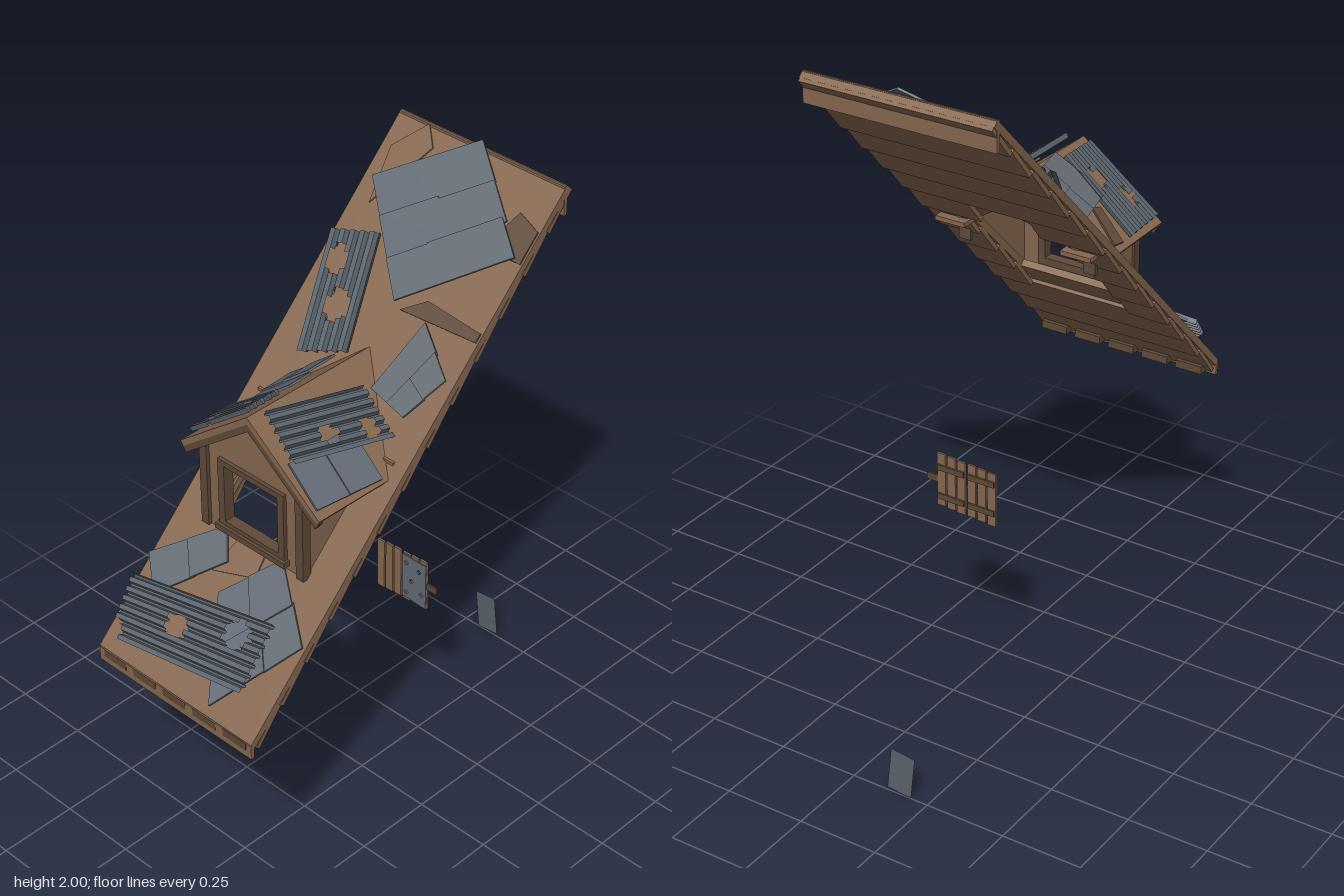
import * as THREE from 'three';

const mat = (name, color, side = THREE.FrontSide) =>
  Object.assign(new THREE.MeshStandardMaterial({ color, side, flatShading: true }), { name });

export function createModel() {
  const root = new THREE.Group();
  root.name = 'ruinedRoofWithDormer';
  const wood = mat('weathered wood', 0x86674f);
  const darkWood = mat('dark wood', 0x5f4a39);
  const metal = mat('slate metal', 0x626a73);
  const tin = mat('corrugated tin', 0x59626b, THREE.DoubleSide);

  const add = (parent, name, geo, material, x = 0, y = 0, z = 0) => {
    const m = new THREE.Mesh(geo, material);
    m.name = name;
    m.position.set(x, y, z);
    parent.add(m);
    return m;
  };
  const box = (parent, name, material, w, h, d, x, y, z) =>
    add(parent, name, new THREE.BoxGeometry(w, h, d), material, x, y, z);
  const group = (name) => {
    const g = new THREE.Group();
    g.name = name;
    root.add(g);
    return g;
  };
  const outline = (pts) => new THREE.Shape(pts.map(([x, y]) => new THREE.Vector2(x, y)));
  // flat slab from an outline, from z upward by depth
  const slab = (parent, name, material, pts, z, depth = 0.007, holes = []) => {
    const s = outline(pts);
    holes.forEach((h) => s.holes.push(outline(h)));
    return add(parent, name, new THREE.ExtrudeGeometry(s, { depth, bevelEnabled: false }), material, 0, 0, z);
  };
  // point inside a four-cornered patch
  const inQuad = ([a, b, c, d], u, v) => [0, 1].map((i) =>
    (a[i] * (1 - u) + b[i] * u) * (1 - v) + (d[i] * (1 - u) + c[i] * u) * v);
  // overlapping plates; each cell is [u0, v0, u1, v1]
  const plates = (parent, name, quad, cells, z) => cells.forEach(([u0, v0, u1, v1], i) =>
    slab(parent, name, metal, [[u0, v0], [u1, v0], [u1, v1], [u0, v1]]
      .map(([u, v]) => inQuad(quad, u, v)), z + (i % 3) * 0.004));
  // ribbed sheet, ribs along u, with rusted holes [u, v, ru, rv]
  const ribbed = (parent, name, quad, ribs, z, holes) => {
    const pos = [], n = 44, steps = [0, 0.5, 0.65, 0.85], h = [0.016, 0.016, 0, 0];
    const rows = [];
    for (let r = 0; r < ribs; r++) steps.forEach((s, k) => rows.push([(r + s) / ribs, h[k]]));
    rows.push([1, h[0]]);
    for (let j = 0; j + 1 < rows.length; j++) for (let i = 0; i < n; i++) {
      const u = (i + 0.5) / n, v = (rows[j][0] + rows[j + 1][0]) / 2;
      if (holes.some(([a, b, ra, rb]) => ((u - a) / ra) ** 2 + ((v - b) / rb) ** 2 < 1)) continue;
      const p = [[i, j], [i + 1, j], [i + 1, j + 1], [i, j + 1]]
        .map(([a, b]) => [...inQuad(quad, a / n, rows[b][0]), rows[b][1]]);
      [0, 1, 2, 0, 2, 3].forEach((k) => pos.push(...p[k]));
    }
    const g = new THREE.BufferGeometry();
    g.setAttribute('position', new THREE.Float32BufferAttribute(pos, 3));
    g.computeVertexNormals();
    add(parent, name, g, tin, 0, 0, z);
  };

  // ---- main roof: local y runs up the slope, local z is its normal
  const roof = group('mainRoof');
  roof.position.y = 1.5;
  roof.rotation.x = -Math.PI / 4;
  const onRoof = (pts) => pts.map(([x, y]) => [x, (y - 1.5) * Math.SQRT2]);
  const top = 0.672, bottom = -1.054;
  const opening = [[-0.17, -0.55], [0.17, -0.55], [0.17, -0.2], [0, -0.02], [-0.17, -0.2]];
  slab(roof, 'roofDeck', wood, [[-0.305, bottom], [0.305, bottom], [0.305, top], [-0.305, top]],
    -0.022, 0.022, [opening]);

  // lapped boards under the deck, split around the opening
  const count = 13, pitch = (top - bottom) / count;
  const gap = (v) => (v < -0.55 || v > -0.02 ? 0 : v < -0.2 ? 0.17 : 0.17 * (-0.02 - v) / 0.18);
  for (let i = 0; i < count; i++) {
    const v = bottom + (i + 0.5) * pitch;
    const g = Math.max(...[-0.5, -0.25, 0, 0.25, 0.5].map((t) => gap(v + t * pitch)));
    const spans = g ? [[-0.303, -g], [g, 0.303]] : [[-0.303, 0.303]];
    spans.forEach(([a, b]) => {
      box(roof, 'lapBoard', wood, b - a, pitch, 0.014, (a + b) / 2, v, -0.032).rotation.x = 0.09;
    });
  }
  // loose dark boards lying on the deck
  [
    [[0.17, 1.8], [0.3, 1.8], [0.3, 1.87], [0.22, 1.89]],
    [[0.03, 1.62], [0.3, 1.63], [0.3, 1.65], [0.1, 1.66]],
    [[-0.27, 1.9], [-0.19, 1.97], [-0.14, 1.93], [-0.24, 1.78]],
    [[-0.09, 1.0], [0.05, 1.03], [0.04, 1.09], [-0.06, 1.09]],
  ].forEach((q, i) => slab(roof, 'looseBoard', i < 2 ? darkWood : wood, onRoof(q), 0.001, 0.005));

  // metal patches on the slope
  plates(roof, 'upperPlate', onRoof([[-0.27, 1.83], [0.01, 1.63], [0.29, 1.81], [0, 1.985]]),
    [[0, 0, 0.34, 0.4], [0.33, 0, 0.68, 0.52], [0.67, 0, 1, 0.36],
      [0, 0.39, 0.36, 1], [0.35, 0.51, 0.7, 1], [0.66, 0.35, 1, 0.98]], 0.008);
  plates(roof, 'smallPlate', onRoof([[0.08, 1.46], [0.22, 1.44], [0.285, 1.54], [0.13, 1.62]]),
    [[0, 0, 0.55, 1], [0.5, 0, 1, 0.5], [0.52, 0.48, 1, 1]], 0.006);
  plates(roof, 'lowerLeftPlate', onRoof([[-0.305, 0.965], [-0.22, 0.9], [-0.05, 1.03], [-0.11, 1.09]]),
    [[0, 0, 1, 0.55], [0, 0.5, 1, 1]], 0.008);
  plates(roof, 'lowerRightPlate', onRoof([[-0.03, 0.97], [0.13, 0.775], [0.3, 0.965], [0.11, 1.09]]),
    [[0, 0, 0.55, 0.5], [0.5, 0, 1, 0.6], [0, 0.48, 0.52, 1], [0.48, 0.58, 1, 1]], 0.006);
  ribbed(roof, 'lowerRibbedSheet', onRoof([[-0.265, 0.785], [0.215, 0.83], [0.2, 0.975], [-0.3, 0.915]]), 7, 0.026,
    [[0.41, 0.5, 0.08, 0.17], [0.81, 0.7, 0.09, 0.2], [0, 0, 0.08, 0.3]]);
  ribbed(roof, 'upperRibbedSheet', onRoof([[-0.19, 1.455], [-0.295, 1.7], [-0.14, 1.735], [-0.04, 1.5]]), 5, 0.012,
    [[0.76, 0.28, 0.13, 0.2], [0.38, 0.52, 0.14, 0.23]]);

  // fascias at the two ends
  box(root, 'frontFascia', wood, 0.61, 0.045, 0.012, 0, 0.728, 0.74);
  for (let i = 0; i < 5; i++)
    box(root, 'fasciaBlock', darkWood, 0.09, 0.025, 0.07, -0.24 + i * 0.12, 0.738, 0.712);
  box(root, 'backFascia', wood, 0.61, 0.09, 0.012, 0, 1.928, -0.472);

  // ---- dormer walls
  const slope = 0.77, ridge = 1.53, angle = Math.atan(slope);
  const dormer = group('dormer');
  const rect = (x, y0, y1) => [[-x, y0], [x, y0], [x, y1], [-x, y1]];
  const frontWall = [[-0.19, 1.08], [0.19, 1.08], [0.19, 1.365], [0, 1.505], [-0.19, 1.365]];
  slab(dormer, 'frontWall', wood, frontWall, 0.405, 0.018, [rect(0.105, 1.125, 1.318)]);
  slab(dormer, 'windowFrame', darkWood, rect(0.127, 1.09, 1.332), 0.4, 0.035, [rect(0.103, 1.128, 1.314)]);
  box(dormer, 'windowSill', darkWood, 0.27, 0.018, 0.03, 0, 1.105, 0.43);
  for (const s of [-1, 1]) {
    const side = slab(dormer, 'sideWall', wood,
      [[-0.425, 1.075], [-0.425, 1.37], [-0.13, 1.37]], 0, 0.015);
    side.rotation.y = Math.PI / 2;
    side.position.x = s * 0.185 - 0.0075;
    box(dormer, 'cornerPost', darkWood, 0.028, 0.27, 0.03, s * 0.185, 1.215, 0.42);
    box(dormer, 'eaveBracket', wood, 0.1, 0.014, 0.09, s * 0.21, 1.352, 0.105);
    box(dormer, 'eaveBracketPost', darkWood, 0.04, 0.09, 0.014, s * 0.21, 1.312, 0.143);
    slab(dormer, 'bargeBoard', darkWood, [[0, 1.518], [s * 0.265, 1.314], [s * 0.25, 1.29], [0, 1.482]], 0.422, 0.016);
  }

  // ---- dormer roof: each half is laid out in plan and tilted
  for (const s of [-1, 1]) {
    const half = group(s > 0 ? 'dormerRoofLeft' : 'dormerRoofRight');
    half.position.y = ridge;
    half.rotation.set(-Math.PI / 2, 0, -s * angle, 'ZXY');
    const plan = (pts) => pts.map(([x, z]) => [x / Math.cos(angle), -z]);
    slab(half, 'roofPanel', wood, plan([[0, -0.03], [s * 0.2, 0.08], [s * 0.27, 0.14], [s * 0.268, 0.44], [0, 0.44]]), -0.018, 0.018);
    if (s > 0) {
      plates(half, 'dormerPlate', plan([[0.13, 0.42], [0.245, 0.43], [0.262, 0.2], [0.13, 0.19]]),
        [[0, 0, 1, 0.55], [0, 0.5, 1, 1]], 0.004);
      ribbed(half, 'dormerRibbedSheet', plan([[0.14, 0.42], [0.2, 0.1], [0.07, 0.085], [0.012, 0.4]]), 6, 0.018,
        [[0.84, 0.28, 0.08, 0.2], [0.45, 0.35, 0.09, 0.18]]);
    } else {
      plates(half, 'dormerPlate', plan([[-0.14, 0.315], [0, 0.27], [-0.03, 0.06], [-0.18, 0.09]]),
        [[0, 0, 1, 0.45], [0, 0.42, 0.5, 1], [0.48, 0.42, 1, 1]], 0.012);
      ribbed(half, 'dormerRibbedSheet', plan([[-0.25, 0.425], [-0.02, 0.425], [-0.02, 0.29], [-0.255, 0.27]]), 5, 0.006,
        [[0.65, 0.65, 0.12, 0.2], [0.32, 0.27, 0.11, 0.16]]);
      slab(half, 'loosePlank', darkWood, plan([[-0.255, 0.24], [-0.16, 0.27], [-0.15, 0.24], [-0.25, 0.2]]), 0.001, 0.006);
    }
  }

  // ---- pair of shutters
  const shutters = group('shutters');
  shutters.position.set(-0.05, 0.65, -0.175);
  for (const s of [0, 1]) {
    for (let i = -1; i <= 1; i++)
      box(shutters, 'shutterBoard', wood, 0.028, 0.172, 0.007, s * 0.104 + i * 0.034 - 0.004, s * 0.006 + i * 0.003, 0);
    for (const y of [-0.045, 0.05])
      box(shutters, 'shutterBatten', darkWood, 0.09, 0.018, 0.006, s * 0.104 - 0.004, y, -0.006);
  }
  box(shutters, 'shutterLatch', darkWood, 0.06, 0.022, 0.006, 0.155, 0.008, 0);
  const dots = [[0.07, 0.06], [0.12, 0.05], [0.09, 0], [0.13, -0.03], [0.07, -0.05]].map(([x, y]) =>
    [[x - 0.008, y], [x, y - 0.01], [x + 0.009, y], [x, y + 0.008]]);
  slab(shutters, 'shutterSheet', metal, [[0.053, -0.07], [0.148, -0.075], [0.148, 0.085], [0.055, 0.085]], 0.004, 0.004, dots);

  // ---- lone scrap of tin
  const scrap = group('tinScrap');
  scrap.position.set(-0.163, 0.0735, -0.75);
  scrap.rotation.z = 0.11;
  add(scrap, 'scrapSheet', new THREE.PlaneGeometry(0.08, 0.138), tin);
  return root;
}
